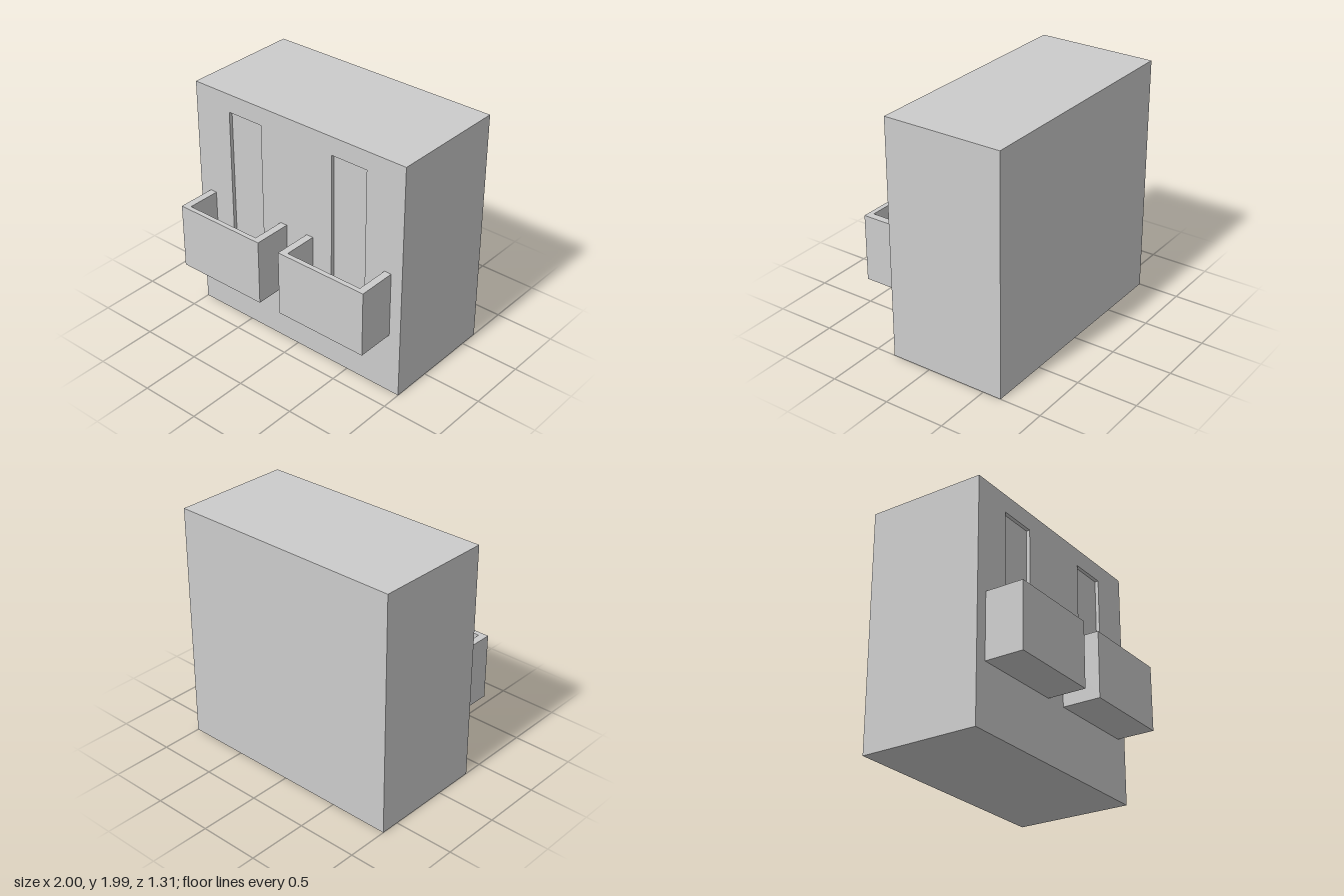
import * as THREE from 'three';

const material = new THREE.MeshStandardMaterial({ color: 0xcccccc });
const BACK = -0.655, FRONT = 0.335, HEIGHT = 1.985, RECESS = 0.03;
const TRAY_BOTTOM = 0.52, TRAY_TOP = 1.065, FLOOR = 0.04;

function mesh(name, geometry, x = 0, y = 0, z = 0) {
  const m = new THREE.Mesh(geometry, material);
  m.name = name;
  m.position.set(x, y, z);
  return m;
}

function polygon(points, Type = THREE.Shape) {
  return new Type(points.map(([x, y]) => new THREE.Vector2(x, y)));
}

const rect = (x0, y0, x1, y1) => [[x0, y0], [x1, y0], [x1, y1], [x0, y1]];
const extrude = (shape, depth) => new THREE.ExtrudeGeometry(shape, { depth, bevelEnabled: false });

// Open-topped tray: U-shaped wall plus a floor, open against the cabinet
function createTray() {
  const tray = new THREE.Group();
  const wall = polygon([
    [-0.4, FRONT], [-0.34, FRONT], [-0.34, 0.615], [0.34, 0.615],
    [0.34, FRONT], [0.4, FRONT], [0.4, 0.655], [-0.4, 0.655],
  ]);
  const wallGeometry = extrude(wall, TRAY_TOP - TRAY_BOTTOM).rotateX(Math.PI / 2);
  tray.add(mesh('trayWall', wallGeometry, 0, TRAY_TOP, 0));
  tray.add(mesh('trayFloor', new THREE.BoxGeometry(0.68, FLOOR, 0.615 - FRONT),
    0, TRAY_BOTTOM + FLOOR / 2, (FRONT + 0.615) / 2));
  return tray;
}

export function createModel() {
  const model = new THREE.Group();
  model.name = 'cabinetWithTrays';

  // Main block behind the front panel
  const depth = FRONT - RECESS - BACK;
  model.add(mesh('cabinetBody', new THREE.BoxGeometry(2, HEIGHT, depth),
    0, HEIGHT / 2, BACK + depth / 2));

  // Front panel with two shallow slots running down into the trays
  const panel = polygon(rect(-1, 0, 1, HEIGHT));
  for (const x of [-0.5, 0.5]) {
    panel.holes.push(polygon(rect(x - 0.16, TRAY_BOTTOM + FLOOR, x + 0.16, 1.835), THREE.Path));
  }
  model.add(mesh('frontPanel', extrude(panel, RECESS), 0, 0, FRONT - RECESS));

  // One tray under each slot
  for (const [name, x] of [['rightTray', -0.5], ['leftTray', 0.5]]) {
    const tray = createTray();
    tray.name = name;
    tray.position.x = x;
    model.add(tray);
  }
  return model;
}
